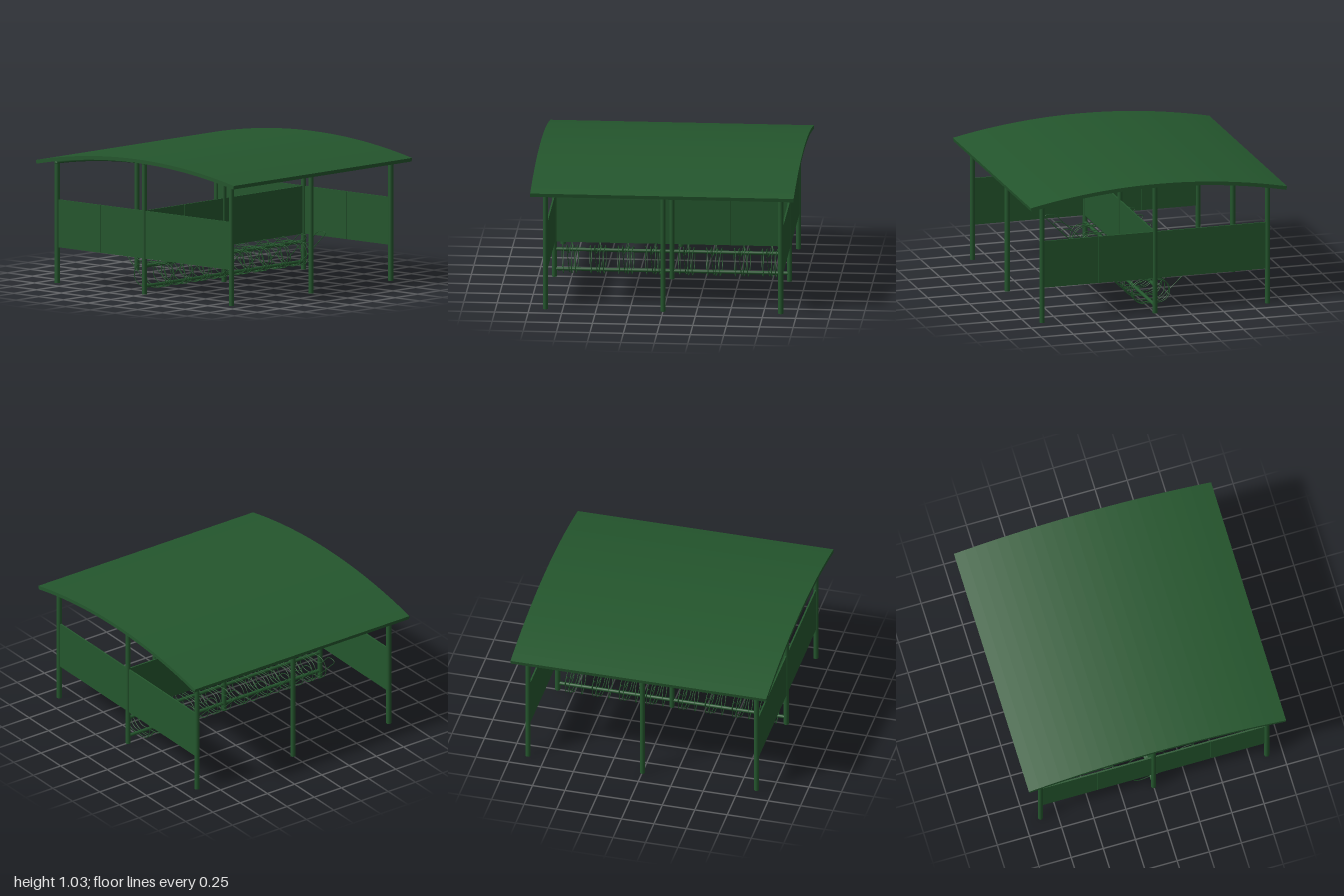
import * as THREE from 'three';

const GREEN = new THREE.MeshStandardMaterial({ color: 0x24562d });
const R = 4.81, CY = 1.03 - R; // roof arc radius and centre height
const arcY = (z, r = R) => CY + Math.sqrt(r * r - z * z);

function add(parent, name, geo, x = 0, y = 0, z = 0) {
  const m = new THREE.Mesh(geo, GREEN);
  m.name = name;
  m.position.set(x, y, z);
  parent.add(m);
  return m;
}

// Closed wire in the z-y plane with rounded corners; corner = [z, y, radius]
function wire(corners, radius = 0.003) {
  const path = new THREE.CurvePath();
  const pts = corners.map(([z, y]) => new THREE.Vector3(0, y, z));
  const n = pts.length;
  const cuts = pts.map((p, i) => {
    const toward = (q) => p.clone().add(q.clone().sub(p).setLength(corners[i][2]));
    return [toward(pts[(i + n - 1) % n]), toward(pts[(i + 1) % n])];
  });
  cuts.forEach(([a, b], i) => {
    // pull the control points in so each bend is close to a circular arc
    const p = pts[i];
    path.add(new THREE.CubicBezierCurve3(a, a.clone().lerp(p, 0.55), b.clone().lerp(p, 0.55), b));
    path.add(new THREE.LineCurve3(b, cuts[(i + 1) % n][0]));
  });
  const smooth = new THREE.CatmullRomCurve3(path.getSpacedPoints(72).slice(0, -1), true);
  return new THREE.TubeGeometry(smooth, 110, radius, 6, true);
}

export function createModel() {
  const model = new THREE.Group();
  model.name = 'bicycleShelter';

  // Arched roof slab
  const shape = new THREE.Shape();
  const N = 24, A = Math.asin(1 / R), T = 0.028;
  for (let i = 0; i <= N; i++) {
    const a = -A + (2 * A * i) / N;
    shape[i ? 'lineTo' : 'moveTo'](R * Math.sin(a), CY + R * Math.cos(a));
  }
  for (let i = N; i >= 0; i--) {
    const a = -A + (2 * A * i) / N;
    shape.lineTo((R - T) * Math.sin(a), CY + (R - T) * Math.cos(a));
  }
  const roof = new THREE.ExtrudeGeometry(shape, { depth: 1.97, bevelEnabled: false });
  roof.translate(0, 0, -0.985).rotateY(Math.PI / 2);
  add(model, 'roof', roof);

  // Posts on a three by three grid, with curved beams above each row
  const spots = [-0.88, 0, 0.88];
  for (const x of spots) {
    for (const z of spots) {
      const h = arcY(z) - 0.035;
      add(model, 'post', new THREE.CylinderGeometry(0.019, 0.019, h, 20), x, h / 2, z);
      add(model, 'postCap', new THREE.SphereGeometry(0.021, 16, 10), x, h - 0.008, z);
    }
    const pts = [];
    for (let i = 0; i <= 16; i++) {
      const z = -0.89 + (1.78 * i) / 16;
      pts.push(new THREE.Vector3(x, arcY(z, R - 0.031), z));
    }
    add(model, 'roofBeam', new THREE.TubeGeometry(new THREE.CatmullRomCurve3(pts), 32, 0.018, 12));
  }

  // Side walls and central divider, two panels per bay
  for (let i = 0; i < 4; i++) {
    const c = -0.66 + 0.44 * i;
    for (const x of [-0.88, 0.88])
      add(model, 'sidePanel', new THREE.BoxGeometry(0.012, 0.36, 0.438), x, 0.45, c);
    add(model, 'dividerPanel', new THREE.BoxGeometry(0.438, 0.36, 0.012), c, 0.45, 0);
  }

  // Horizontal rack rails
  for (const y of [0.06, 0.212]) {
    const rail = add(model, 'rackRail', new THREE.CylinderGeometry(0.013, 0.013, 1.76, 14), 0, y, 0);
    rail.rotation.z = Math.PI / 2;
  }

  // Wheel holders: one long two-sided cradle and three rounded hoops each
  const cradle = wire([
    [-0.075, 0.05, 0.035], [0.075, 0.05, 0.035], [0.37, 0.33, 0.035], [0.28, 0.335, 0.035],
    [0.17, 0.225, 0.03], [-0.17, 0.225, 0.03], [-0.28, 0.335, 0.035], [-0.37, 0.33, 0.035],
  ]);
  const hoop = wire([
    [-0.145, 0.05, 0.085], [0.145, 0.05, 0.085], [0.145, 0.225, 0.085], [-0.145, 0.225, 0.085],
  ]);
  for (const bay of [-0.76, 0.11]) {
    for (let i = 0; i < 4; i++) {
      const holder = new THREE.Group();
      holder.name = 'wheelHolder';
      holder.position.x = bay + 0.208 * i;
      add(holder, 'cradleWire', cradle);
      add(holder, 'hoopWire', hoop, -0.055).rotation.y = 0.12;
      add(holder, 'hoopWire', hoop, 0.02);
      add(holder, 'hoopWire', hoop, 0.05);
      model.add(holder);
    }
  }
  return model;
}
